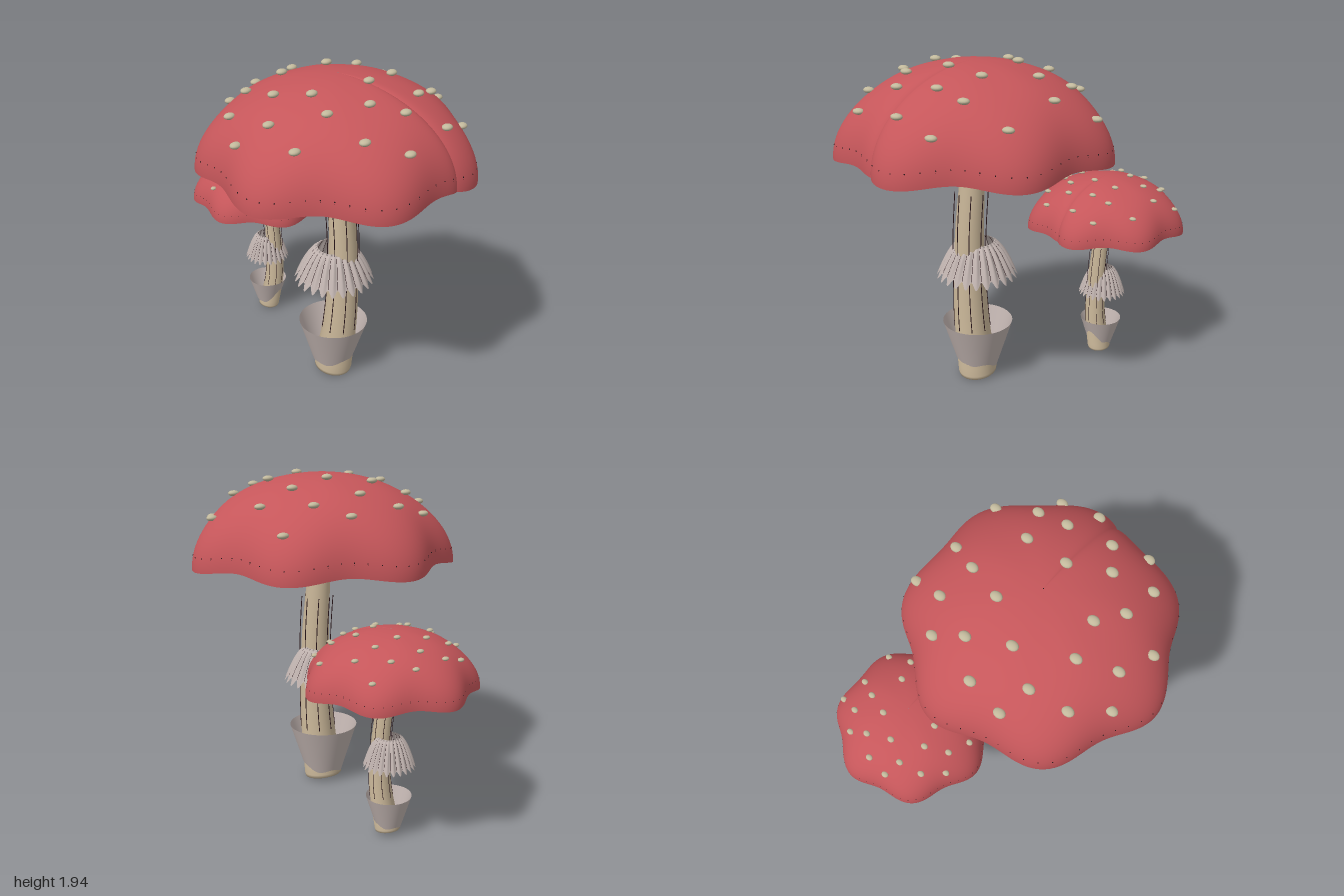
import * as THREE from 'three';
import { mergeGeometries } from 'three/addons/utils/BufferGeometryUtils.js';
import { ParametricGeometry } from 'three/addons/geometries/ParametricGeometry.js';

const CX = 0.225;          // axis of the cap, skirt and cup
const TAU = Math.PI * 2;

const material = (name, color, side = THREE.FrontSide) => {
  const m = new THREE.MeshStandardMaterial({ color, side });
  m.name = name;
  return m;
};

// Wart positions as x, z pairs
const WARTS = [
  -0.045, -0.636, 0.195, -0.55, 0.55, -0.57, -0.08, -0.43, 0.12, -0.374, -0.26, -0.337,
  0.617, -0.33, 0.82, -0.315, 0.414, -0.25, -0.19, -0.17, 0.05, -0.16, 0.63, -0.15,
  0.837, -0.08, -0.34, -0.02, 0.414, 0, -0.1, 0.06, 0.687, 0.1, -0.366, 0.187,
  -0.206, 0.246, 0.537, 0.203, 0.81, 0.273, 0.25, 0.294, 0.045, 0.342, 0.404, 0.39,
  0.634, 0.412, -0.158, 0.455, 0.152, 0.535, 0.003, 0.615, 0.36, 0.61,
];

// Seven-lobed dome surface with one radial fold; height sets the outer or the inner shell
function domePoint(theta, phi, height, target = new THREE.Vector3()) {
  const t = Math.sin(phi);
  const lobe = Math.cos(7 * (theta - Math.PI / 2)) * t ** 2.6;
  const seam = Math.min(Math.abs(theta), Math.abs(TAU - theta));
  const fold = 0.028 * t * Math.exp(-seam / 0.06);
  const r = (0.752 + 0.036 * lobe) * t - fold * t * t * 0.8;
  return target.set(
    CX + r * Math.cos(theta),
    1.425 - 0.016 * lobe + height * Math.cos(phi) - fold * Math.cos(phi),
    r * Math.sin(theta),
  );
}

const OUTER = 0.509, INNER = 0.41;

function tube(points, radius, segments) {
  return new THREE.TubeGeometry(new THREE.CatmullRomCurve3(points), segments, radius, 5);
}

function createMushroom(mats, { bend, skirtTop, skirtHeight }) {
  const group = new THREE.Group();
  const add = (name, geometry, mat) => {
    const mesh = new THREE.Mesh(geometry, mat);
    mesh.name = name;
    group.add(mesh);
  };

  // Cap: outer shell and hollow underside meeting at the rim
  const shell = (height, dir) => new ParametricGeometry((u, v, target) =>
    domePoint(dir > 0 ? u * TAU : (1 - u) * TAU, 0.004 + v * (Math.PI / 2 - 0.004), height, target), 200, 28);
  add('capTop', shell(OUTER, 1), mats.red);
  add('capUnderside', shell(INNER, -1), mats.red);

  // Gills, with a row of dots just above the rim
  const gills = [], dots = [];
  const count = 64;
  for (let i = 0; i < count; i++) {
    const theta = (i + 0.5) / count * TAU;
    const path = [];
    for (let k = 0; k <= 6; k++) path.push(domePoint(theta, 0.05 + k * 0.225, INNER));
    gills.push(tube(path, 0.004, 16));
    const p = domePoint(theta, 1.41, OUTER);
    dots.push(new THREE.SphereGeometry(0.0036, 6, 4).translate(p.x, p.y, p.z));
  }
  add('gills', mergeGeometries(gills), mats.dark);
  add('rimDots', mergeGeometries(dots), mats.dark);

  // Warts sit on the dome
  const warts = [];
  for (let i = 0; i < WARTS.length; i += 2) {
    const x = WARTS[i], z = WARTS[i + 1];
    const theta = (Math.atan2(z, x - CX) + TAU) % TAU;
    const reach = Math.hypot(x - CX, z);
    let phi = 0;
    for (let k = 0; k < 200; k++) {
      const p = domePoint(theta, phi, OUTER);
      if (Math.hypot(p.x - CX, p.z) >= reach) break;
      phi += Math.PI / 400;
    }
    const y = domePoint(theta, phi, OUTER).y + 0.016;
    warts.push(new THREE.SphereGeometry(1, 14, 10).scale(0.028, 0.017, 0.035).translate(x, y, z));
  }
  add('warts', mergeGeometries(warts), mats.wart);

  // Stem: tapered and bent along a curve, with a slanted soft foot and a rounded top
  const samples = new THREE.SplineCurve(bend.map(([x, y]) => new THREE.Vector2(x, y))).getPoints(200);
  const centreX = (y) => {
    const i = samples.findIndex((p) => p.y >= y);
    if (i <= 0) return samples[0].x;
    const a = samples[i - 1], b = samples[i];
    return a.x + (b.x - a.x) * (y - a.y) / (b.y - a.y);
  };
  const bottom = 0.025, top = 1.43;
  const stemRadius = (y) => THREE.MathUtils.mapLinear(y, bottom, top, 0.117, 0.066);
  const outline = [new THREE.Vector2(0, bottom), new THREE.Vector2(0.113, bottom)];
  for (let k = 0; k <= 28; k++) {
    const y = THREE.MathUtils.lerp(0.045, top, k / 28);
    outline.push(new THREE.Vector2(stemRadius(y), y));
  }
  for (let k = 1; k <= 5; k++) {
    const a = k / 5 * Math.PI / 2;
    outline.push(new THREE.Vector2(Math.max(0, 0.066 * Math.cos(a)), top + 0.04 * Math.sin(a)));
  }
  const stem = new THREE.LatheGeometry(outline, 32);
  const pos = stem.attributes.position;
  for (let i = 0; i < pos.count; i++) {
    const x = pos.getX(i), y = pos.getY(i);
    pos.setXYZ(i, x + centreX(y), y - 0.17 * x * Math.max(0, 1 - y / 0.4), pos.getZ(i));
  }
  add('stem', stem, mats.tan);

  // Fine strands follow the stem and stand free where it narrows
  const strands = [];
  for (let i = 0; i < 8; i++) {
    const a = i / 8 * TAU;
    const path = [];
    for (let k = 0; k <= 10; k++) {
      const y = 0.34 + k * 0.085;
      const r = Math.max(0.095, stemRadius(y) + 0.001);
      path.push(new THREE.Vector3(centreX(y) + r * Math.cos(a), y, r * Math.sin(a)));
    }
    strands.push(tube(path, 0.0026, 18));
  }
  add('stemStrands', mergeGeometries(strands), mats.dark);

  // Pleated skirt with a scalloped hem
  const pleats = 24;
  const skirtPoint = (theta, v, lift, target = new THREE.Vector3()) => {
    const wave = Math.cos(pleats * theta);
    const r = 0.1 + 0.128 * v ** 0.85 + 0.012 * Math.sqrt(v) * wave + lift;
    const y = skirtTop - skirtHeight * v ** 1.3 - 0.02 * v ** 3 * wave;
    return target.set(CX + r * Math.cos(theta), y, r * Math.sin(theta));
  };
  add('skirt', new ParametricGeometry((u, v, target) =>
    skirtPoint((1 - u) * TAU, 1 - v, 0, target), pleats * 8, 10), mats.grey);
  const creases = [];
  for (let i = 0; i < pleats; i++) {
    const path = [0.15, 0.4, 0.7, 0.98].map((v) => skirtPoint((i + 0.5) / pleats * TAU, v, 0));
    creases.push(tube(path, 0.0015, 8));
  }
  add('skirtCreases', mergeGeometries(creases), mats.dark);

  // Open cup with an uneven lower edge that leaves the foot bare
  add('cup', new ParametricGeometry((u, v, target) => {
    const a = (1 - u) * TAU;
    const low = 0.095 + 0.022 * Math.cos(a) + 0.012 * Math.sin(4 * a);
    const y = THREE.MathUtils.lerp(low, 0.367, v);
    const r = THREE.MathUtils.mapLinear(y, 0.09, 0.367, 0.122, 0.209);
    target.set(CX + r * Math.cos(a), y, r * Math.sin(a));
  }, 64, 6), mats.grey);

  return group;
}

export function createModel() {
  const mats = {
    red: material('capRed', 0xc5565a),
    tan: material('stemTan', 0xcab799),
    wart: material('wartCream', 0xc2b99c),
    grey: material('veilGrey', 0xbfb2ae, THREE.DoubleSide),
    dark: material('lineDark', 0x2a161a),
  };
  const model = new THREE.Group();
  model.name = 'mushrooms';

  const large = createMushroom(mats, {
    bend: [[0.225, 0], [0.272, 0.37], [0.287, 0.7], [0.282, 0.95], [0.262, 1.19], [0.232, 1.5]],
    skirtTop: 0.878, skirtHeight: 0.195,
  });
  large.name = 'largeMushroom';

  const small = createMushroom(mats, {
    bend: [[0.225, 0], [0.312, 0.37], [0.33, 0.62], [0.318, 0.9], [0.285, 1.19], [0.232, 1.5]],
    skirtTop: 0.94, skirtHeight: 0.27,
  });
  small.name = 'smallMushroom';
  small.scale.setScalar(0.606);
  small.position.set(-0.667, 0.014, -0.352);

  model.add(large, small);
  return model;
}
